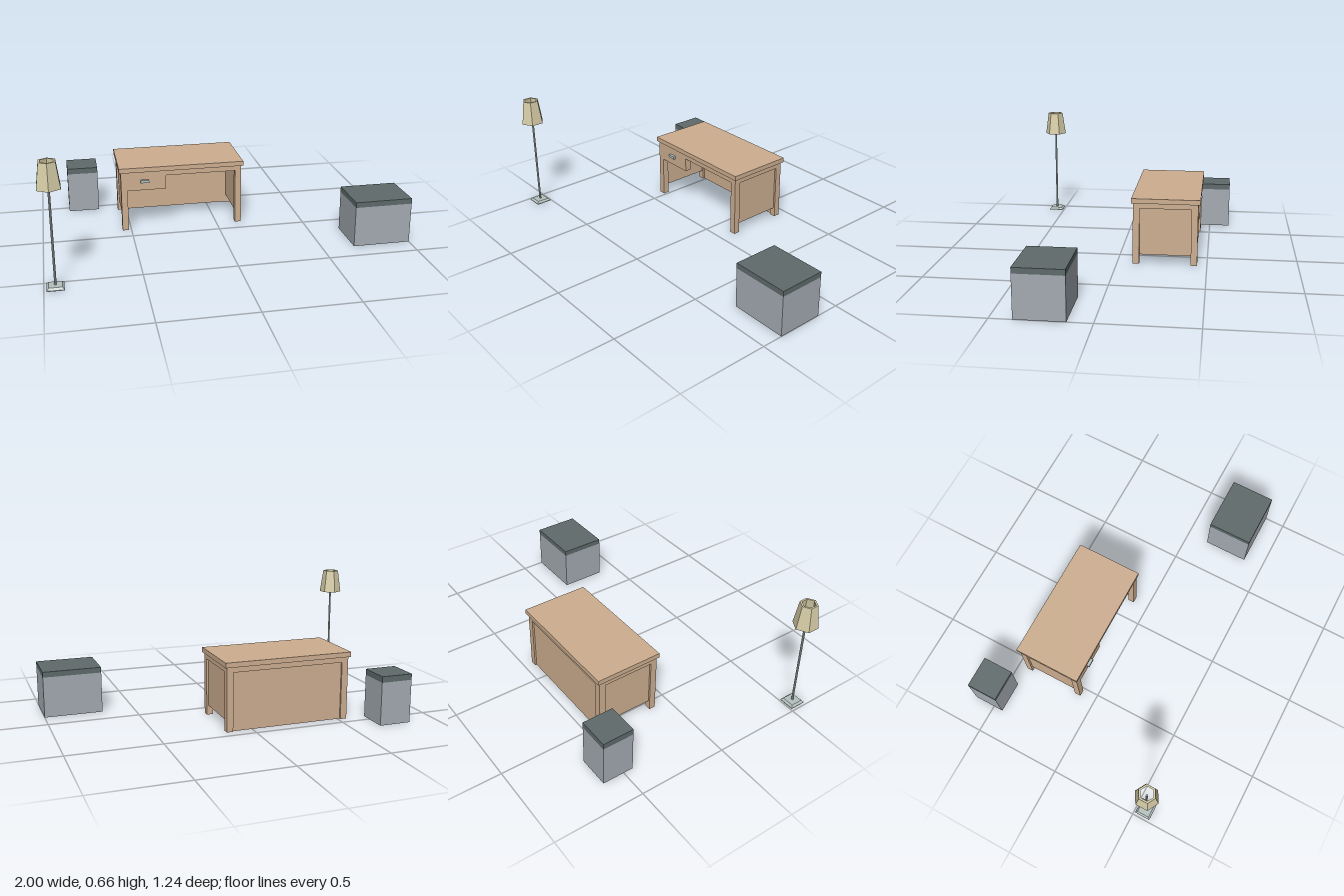
import * as THREE from 'three';

const mat = (name, color, extra = {}) => {
  const m = new THREE.MeshStandardMaterial({ color, ...extra });
  m.name = name;
  return m;
};

export function createModel() {
  const wood = mat('wood', 0xcdae90);
  const boxGrey = mat('boxGrey', 0xa3aab1);
  const lidGrey = mat('lidGrey', 0x5f6a6b);
  const cream = mat('shadeCream', 0xd6cca6, { flatShading: true });
  const metal = mat('paleMetal', 0xb4c0bd, { flatShading: true });

  const model = new THREE.Group();
  model.name = 'studyFurniture';
  const group = (name) => {
    const g = new THREE.Group();
    g.name = name;
    model.add(g);
    return g;
  };

  // Box given by its lower and upper bounds on each axis
  const block = (parent, name, material, [x0, x1], [y0, y1], [z0, z1]) => {
    const mesh = new THREE.Mesh(new THREE.BoxGeometry(x1 - x0, y1 - y0, z1 - z0), material);
    mesh.position.set((x0 + x1) / 2, (y0 + y1) / 2, (z0 + z1) / 2);
    mesh.name = name;
    parent.add(mesh);
  };

  // Desk: top, four corner legs, rails and recessed panels
  const desk = group('desk');
  const L = -0.55, R = 0.146, B = -0.446, F = -0.088, leg = 0.036;
  const innerX = [L + leg, R - leg], innerZ = [B + leg, F - leg];
  const under = 0.349, rail = [0.319, under];
  block(desk, 'deskTop', wood, [-0.56, 0.156], [under, 0.376], [-0.458, -0.079]);
  for (const x of [L, R - leg])
    for (const z of [B, F - leg])
      block(desk, 'deskLeg', wood, [x, x + leg], [0, under], [z, z + leg]);
  for (const z of [B, F - leg])
    block(desk, 'longRail', wood, innerX, rail, [z, z + leg]);
  for (const x of [L, R - leg]) {
    block(desk, 'sideRail', wood, [x, x + leg], rail, innerZ);
    block(desk, 'sidePanel', wood, [x + 0.011, x + leg - 0.011], [0.052, 0.319], innerZ);
  }
  block(desk, 'backPanel', wood, innerX, [0, 0.319], [B + 0.01, B + leg - 0.01]);

  // Drawer front, flush with the legs, and its pull
  block(desk, 'drawerFront', wood, [L + leg, -0.294], [0.239, 0.319], [F - leg, F]);
  block(desk, 'drawerPull', metal, [-0.439, -0.391], [0.286, 0.302], [F, -0.073]);

  // Lidded storage boxes
  const storage = (name, x, z, seam, top) => {
    const g = group(name);
    block(g, 'boxBody', boxGrey, x, [0, seam], z);
    block(g, 'boxLid', lidGrey, x, [seam, top], z);
  };
  storage('smallBox', [-0.84, -0.662], [-0.62, -0.445], 0.237, 0.27);
  storage('largeBox', [0.679, 1], [0.128, 0.384], 0.227, 0.257);

  // Floor lamp
  const lamp = group('floorLamp');
  lamp.position.set(-0.942, 0, 0.552);
  const add = (name, geometry, material, y) => {
    const mesh = new THREE.Mesh(geometry, material);
    mesh.name = name;
    mesh.position.y = y;
    lamp.add(mesh);
    return mesh;
  };
  const h = Math.SQRT2;
  const base = add('lampBase', new THREE.CylinderGeometry(0.034 * h, 0.044 * h, 0.011, 4), metal, 0.0095);
  base.rotation.y = Math.PI / 4;
  block(lamp, 'lampFoot', metal, [-0.044, 0.044], [0, 0.004], [-0.044, 0.044]);
  add('lampPole', new THREE.CylinderGeometry(0.006, 0.006, 0.585, 8), metal, 0.3075);

  // Six-sided shade with wall thickness, open above and below
  const profile = [[0.067, 0.527], [0.047, 0.663], [0.036, 0.663], [0.056, 0.527], [0.067, 0.527]];
  add('lampShade', new THREE.LatheGeometry(profile.map((p) => new THREE.Vector2(...p)), 6), cream, 0);

  return model;
}
